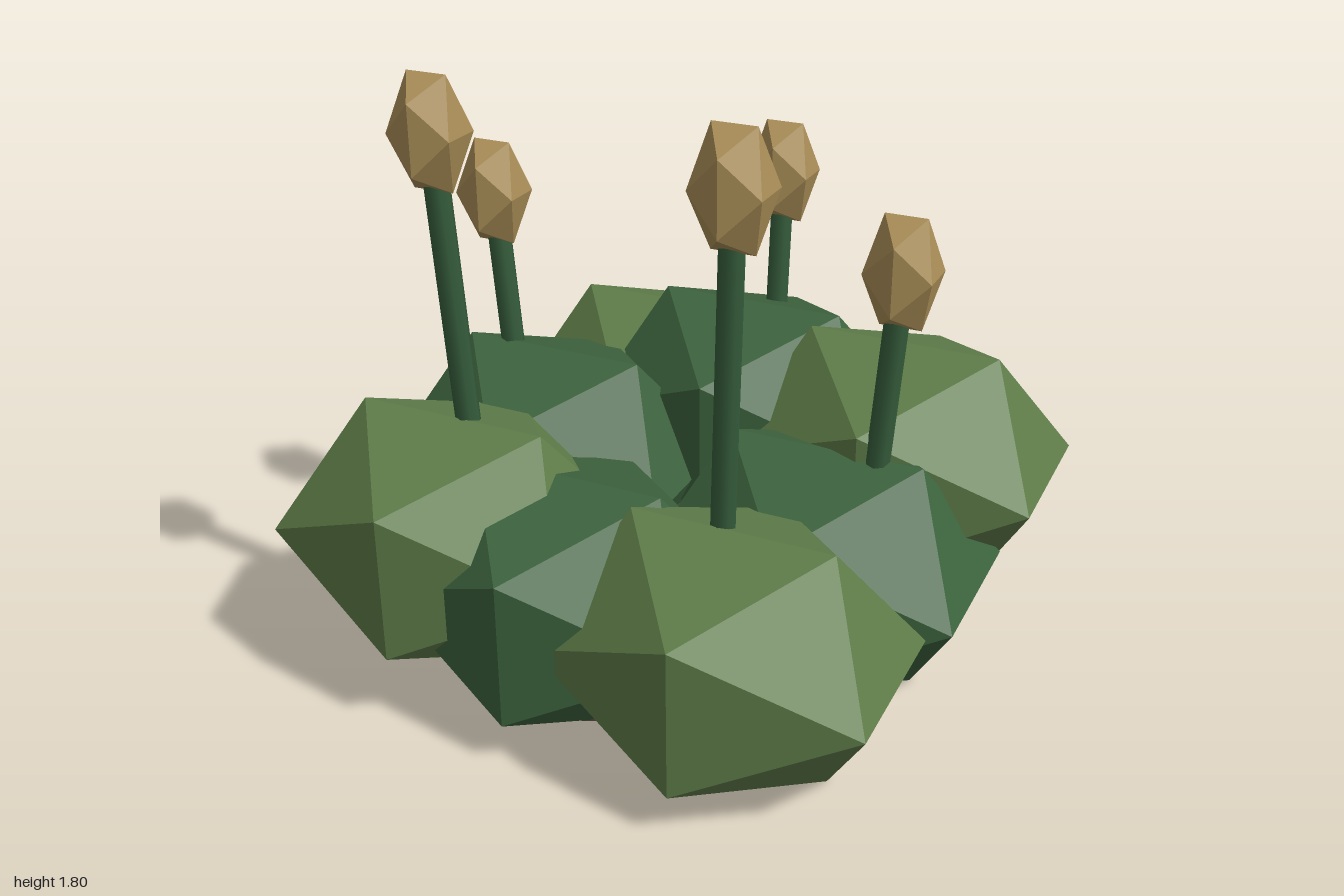
import * as THREE from 'three';

const paint = (color, flatShading = false) => new THREE.MeshStandardMaterial({ color, flatShading });

export function createModel() {
  const model = new THREE.Group();
  const leafLight = paint(0x5f7d49, true);
  const leafDark = paint(0x3d633e, true);
  const stemGreen = paint(0x355c3b);
  const tan = paint(0xab8f58, true);
  const soil = paint(0x5f4a40);

  const add = (name, geometry, material, x, y, z) => {
    const mesh = new THREE.Mesh(geometry, material);
    mesh.name = name;
    mesh.position.set(x, y, z);
    model.add(mesh);
    return mesh;
  };

  // Eight-sided soil mound under the foliage
  add('soilBase', new THREE.CylinderGeometry(0.64, 0.64, 0.28, 8), soil, -0.035, 0.2, 0.04);

  // Foliage clumps: squashed icosahedra, all one size
  const clump = new THREE.IcosahedronGeometry(1, 0).scale(0.552, 0.417, 0.46);
  const clumps = [
    [0.37, 0.355, 0.56, leafLight],
    [-0.53, 0.455, 0.475, leafLight],
    [0.53, 0.555, -0.335, leafLight],
    [-0.35, 0.455, -0.565, leafLight],
    [0.43, 0.355, 0.03, leafDark],
    [-0.5, 0.455, -0.055, leafDark],
    [0.0, 0.555, -0.44, leafDark],
    [-0.16, 0.355, 0.485, leafDark],
  ];
  for (const [x, y, z, material] of clumps) add('foliageClump', clump, material, x, y, z);

  // Seed heads on leaning stems: head centre, then lean of the stem per unit of height
  const head = new THREE.IcosahedronGeometry(1, 0).scale(0.114, 0.187, 0.114);
  const stalks = [
    [0.37, 1.64, 0.565, 0.04, 0.042],
    [-0.53, 1.64, 0.48, -0.045, 0.042],
    [-0.7, 1.28, -0.085, -0.09, -0.01],
    [0.63, 1.28, 0.03, 0.075, 0],
    [0.02, 1.28, -0.635, 0, -0.08],
  ];
  const up = new THREE.Vector3(0, 1, 0);
  for (const [x, y, z, leanX, leanZ] of stalks) {
    add('seedHead', head, tan, x, y, z);
    const drop = y - 0.5;
    const lean = new THREE.Vector3(leanX, 1, leanZ);
    const length = lean.length() * drop;
    const stem = add('stem', new THREE.CylinderGeometry(0.036, 0.036, length, 8), stemGreen,
      x - leanX * drop / 2, y - drop / 2, z - leanZ * drop / 2);
    stem.quaternion.setFromUnitVectors(up, lean.normalize());
  }
  return model;
}
